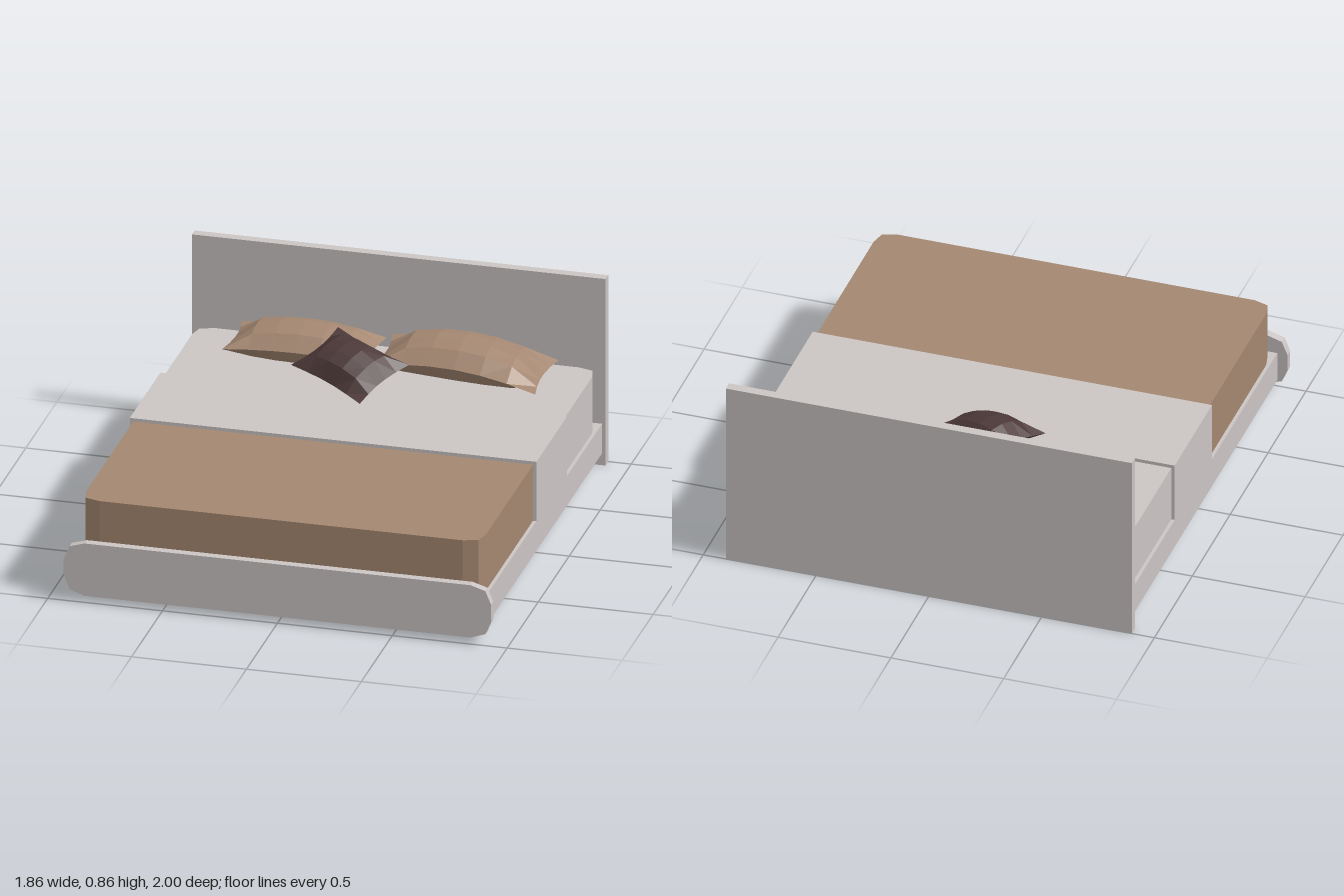
import * as THREE from 'three';

const mat = (name, color) => Object.assign(new THREE.MeshStandardMaterial({ color, flatShading: true }), { name });

export function createModel() {
  const grey = mat('pale grey', 0xcbc5c4);
  const tan = mat('tan fabric', 0xa48771);
  const dark = mat('dark brown', 0x4c3838);
  const bed = new THREE.Group();
  bed.name = 'bed';

  const add = (name, geo, material) => {
    const m = new THREE.Mesh(geo, material);
    m.name = name;
    bed.add(m);
    return m;
  };
  // Box given by its minimum and maximum corners
  const box = (name, material, x0, x1, y0, y1, z0, z1) =>
    add(name, new THREE.BoxGeometry(x1 - x0, y1 - y0, z1 - z0), material)
      .position.set((x0 + x1) / 2, (y0 + y1) / 2, (z0 + z1) / 2);
  const extrude = (pts, depth) => new THREE.ExtrudeGeometry(
    new THREE.Shape(pts.map(p => new THREE.Vector2(...p))), { depth, bevelEnabled: false });

  // Frame
  box('headboard', grey, -0.9, 0.9, 0, 0.855, -1, -0.957);
  box('bedBase', grey, -0.885, 0.885, 0.055, 0.19, -0.957, 0.965);
  for (const s of [-1, 1]) {
    box(s > 0 ? 'leftFoot' : 'rightFoot', dark, s * 0.78 - 0.05, s * 0.78 + 0.05, 0, 0.056, 0.8, 0.9);
  }

  // Footboard with faceted round ends
  const end = [[0.84, 0.03], [0.905, 0.053], [0.93, 0.115], [0.93, 0.19], [0.905, 0.25], [0.84, 0.27]];
  const footboard = [...end, ...end.map(([x, y]) => [-x, y]).reverse()];
  add('footboard', extrude(footboard, 0.037), grey).position.z = 0.963;

  // Mattress halves, each with two softened outer corners
  const half = (name, material, zIn, zOut) => {
    const s = Math.sign(zOut);
    const corner = [[0.87, zOut - s * 0.085], [0.855, zOut - s * 0.02], [0.79, zOut]];
    const side = [[0.87, zIn], ...corner];
    const pts = [...side, ...side.map(([x, z]) => [-x, z]).reverse()].map(([x, z]) => [x, -z]);
    const geo = extrude(pts, 0.257);
    geo.rotateX(-Math.PI / 2);
    add(name, geo, material).position.y = 0.19;
  };
  half('mattress', grey, 0.1, -0.935);
  half('blanket', tan, 0.1, 0.945);
  box('foldedSheet', grey, -0.885, 0.885, 0.19, 0.462, -0.39, 0.102);

  // Stuffed pillow over four seam corners: back left, back right, front right, front left
  const pillow = (name, material, corners, o) => {
    const [a, b, c, d] = corners.map(p => new THREE.Vector3(...p));
    const up = d.clone().sub(a).cross(b.clone().sub(a)).normalize();
    const mid = a.clone().add(b).add(c).add(d).multiplyScalar(0.25);
    const { nu, nv } = o;
    const pos = [], idx = [];
    for (const side of [1, -1]) {
      const base = pos.length / 3;
      for (let j = 0; j <= nv; j++) for (let i = 0; i <= nu; i++) {
        const u = i / nu, v = j / nv;
        const U = 1 - (2 * u - 1) ** 2, V = 1 - (2 * v - 1) ** 2;
        const p = a.clone().lerp(b, u).lerp(d.clone().lerp(c, u), v);
        // Edges pull in between the corners
        const pull = o.pinch * (U * (1 - V) + V * (1 - U));
        p.lerp(mid, pull);
        p.y += o.arch * U;
        const puff = Math.pow(U, o.endPower) * Math.pow(V, 0.6);
        p.addScaledVector(up, side * puff * (side > 0 ? o.top : o.bottom));
        p.y = Math.max(p.y, o.floor);
        pos.push(p.x, p.y, p.z);
      }
      for (let j = 0; j < nv; j++) for (let i = 0; i < nu; i++) {
        const k = base + j * (nu + 1) + i, l = k + nu + 1;
        if (side > 0) idx.push(k, l, k + 1, k + 1, l, l + 1);
        else idx.push(k, k + 1, l, k + 1, l + 1, l);
      }
    }
    const geo = new THREE.BufferGeometry();
    geo.setAttribute('position', new THREE.Float32BufferAttribute(pos, 3));
    geo.setIndex(idx);
    geo.computeVertexNormals();
    add(name, geo, material);
  };

  const soft = { nu: 6, nv: 5, pinch: 0.06, endPower: 0.4, floor: 0.449 };
  pillow('rightPillow', tan,
    [[-0.67, 0.505, -0.91], [-0.04, 0.5, -0.91], [-0.04, 0.5, -0.605], [-0.67, 0.51, -0.59]],
    { ...soft, top: 0.08, bottom: 0.09, arch: 0.015 });
  pillow('leftPillow', tan,
    [[-0.02, 0.51, -0.93], [0.7, 0.468, -0.94], [0.7, 0.468, -0.565], [-0.02, 0.51, -0.595]],
    { ...soft, top: 0.082, bottom: 0.1, arch: 0.04 });
  pillow('cushion', dark,
    [[-0.2, 0.61, -0.72], [0.15, 0.54, -0.57], [0.01, 0.462, -0.29], [-0.33, 0.54, -0.44]],
    { nu: 5, nv: 5, pinch: 0.1, endPower: 0.6, floor: 0.463, top: 0.085, bottom: 0.06, arch: 0 });

  return bed;
}
